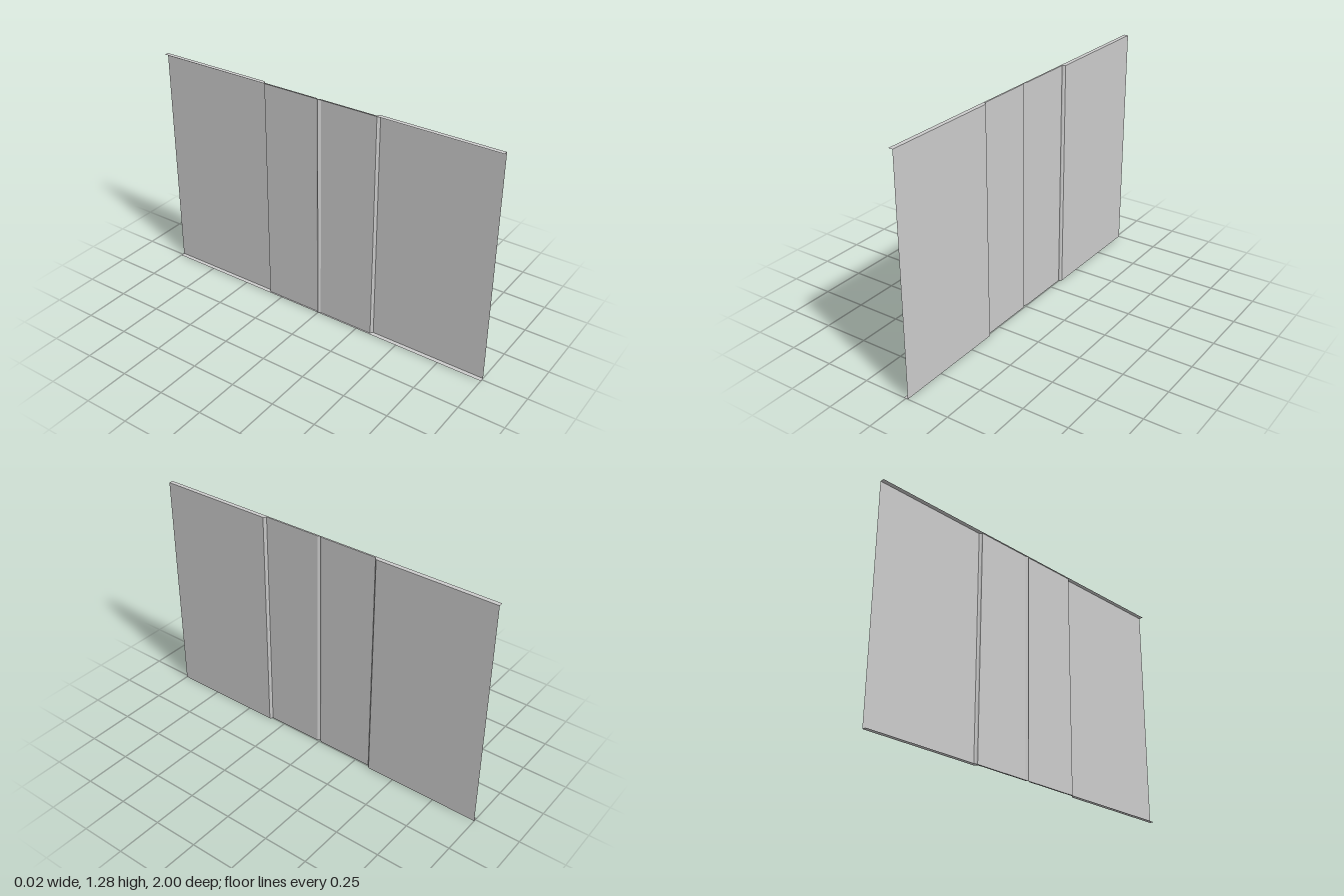
import * as THREE from 'three';

const HEIGHT = 1.28;
const BACK = -0.012;

// Half of the folded profile as [z, x], from the outer edge to the centre groove
const HALF = [
  [1, 0.012], [0.346, 0.012], [0.337, 0.004], [0.335, -0.003],
  [0.013, -0.003], [0, BACK],
];

const material = new THREE.MeshStandardMaterial({
  color: 0xcccccc, side: THREE.DoubleSide, flatShading: true,
});

// Upright strip of sheet between two profile points, facing +x
function strip([z0, x0], [z1, x1]) {
  const g = new THREE.PlaneGeometry(Math.hypot(z1 - z0, x1 - x0), HEIGHT);
  g.rotateY(Math.atan2(z0 - z1, x1 - x0));
  g.translate((x0 + x1) / 2, HEIGHT / 2, (z0 + z1) / 2);
  return g;
}

export function createModel() {
  const group = new THREE.Group();
  const add = (geometry, name) => {
    const mesh = new THREE.Mesh(geometry, material);
    mesh.name = name;
    group.add(mesh);
  };

  // Folded sheet: raised outer panels, recessed middle, V groove
  const mirrored = HALF.slice(0, -1).reverse().map(([z, x]) => [-z, x]);
  const profile = [...HALF, ...mirrored];
  const names = ['outerPanel', 'stepChamfer', 'stepWall', 'middlePanel', 'grooveWall'];
  for (let i = 0; i < profile.length - 1; i++) {
    add(strip(profile[i], profile[i + 1]), names[Math.min(i, profile.length - 2 - i)]);
  }

  // Flanges folded back along the top and bottom edges; the ends stay open
  const outline = new THREE.Shape();
  outline.moveTo(BACK, 1);
  profile.forEach(([z, x]) => outline.lineTo(x, z));
  outline.lineTo(BACK, -1);
  outline.closePath();
  for (const [y, name] of [[HEIGHT, 'topFlange'], [0, 'bottomFlange']]) {
    const g = new THREE.ShapeGeometry(outline);
    g.rotateX(-Math.PI / 2);
    g.translate(0, y, 0);
    add(g, name);
  }
  return group;
}
